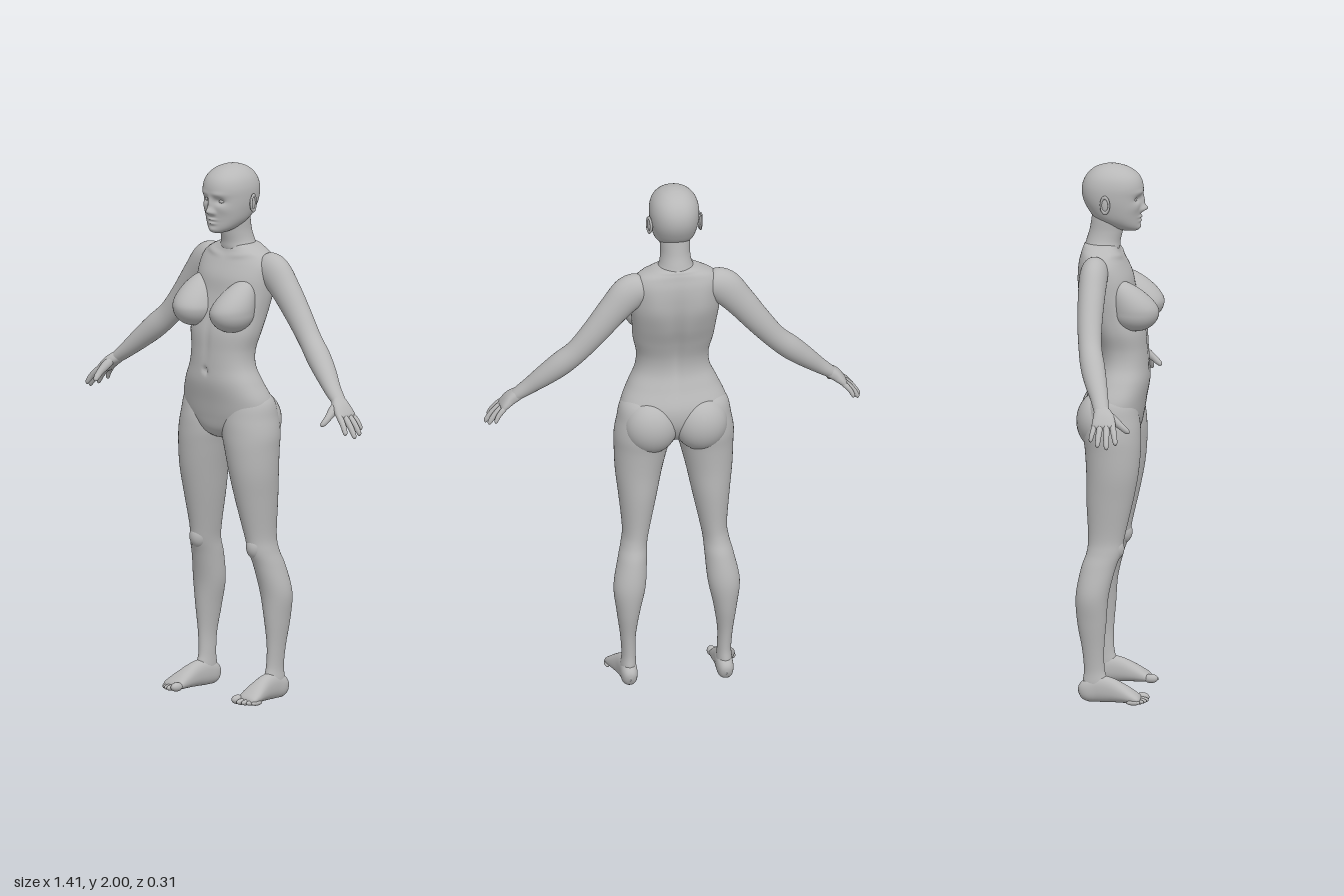
import * as THREE from 'three';

const skin = new THREE.MeshStandardMaterial({ color: 0xb8b8b8 });
skin.name = 'clay grey';

const V = (x, y, z) => new THREE.Vector3(x, y, z);
const bell = (d, w) => Math.exp(-(d * d) / (w * w));

// Smooth skin over rows of [x, y, z, radius along side, other radius].
// A fixed axis keeps every ring parallel; otherwise rings follow the path.
function loft(rows, side, { axis, seg = 24, steps = 40, n = 2, warp } = {}) {
  const path = new THREE.CatmullRomCurve3(rows.map(r => V(r[0], r[1], r[2])), false, 'catmullrom');
  const radii = new THREE.CatmullRomCurve3(rows.map(r => V(r[3], r[4], 0)), false, 'catmullrom');
  const pos = [], index = [];
  const bend = c => Math.sign(c) * Math.abs(c) ** (2 / n);
  for (let i = 0; i <= steps; i++) {
    const c = path.getPoint(i / steps), r = radii.getPoint(i / steps);
    const t = axis ?? path.getTangent(i / steps);
    const v = t.clone().cross(side).normalize();
    const u = v.clone().cross(t).normalize();
    for (let j = 0; j < seg; j++) {
      const a = (j / seg) * Math.PI * 2;
      const p = c.clone()
        .addScaledVector(u, bend(Math.cos(a)) * Math.max(r.x, 0.0005))
        .addScaledVector(v, bend(Math.sin(a)) * Math.max(r.y, 0.0005));
      if (warp) warp(p);
      pos.push(p.x, p.y, p.z);
      if (i < steps) {
        const k = i * seg, m = (j + 1) % seg;
        index.push(k + j, k + m, k + seg + j, k + m, k + seg + m, k + seg + j);
      }
    }
  }
  const g = new THREE.BufferGeometry();
  g.setAttribute('position', new THREE.Float32BufferAttribute(pos, 3));
  g.setIndex(index);
  g.computeVertexNormals();
  return g;
}

// Upright loft from rows of [y, xMin, xMax, zFront, zBack], bottom to top
const upright = (rows, opts) => loft(
  rows.map(([y, a, b, f, k]) => [(a + b) / 2, y, (f + k) / 2, (b - a) / 2, (f - k) / 2]),
  V(1, 0, 0), { axis: V(0, 1, 0), ...opts });
const centred = rows => rows.map(([y, w, f, k]) => [y, -w, w, f, k]);

const ball = (x, y, z, rx, ry, rz) =>
  new THREE.SphereGeometry(1, 32, 24).scale(rx, ry, rz).translate(x, y, z);

function mirrored(g) {
  const m = g.clone().scale(-1, 1, 1), ix = m.index.array;
  for (let i = 0; i < ix.length; i += 3) [ix[i], ix[i + 1]] = [ix[i + 1], ix[i]];
  m.computeVertexNormals();
  return m;
}

export function createModel() {
  const model = new THREE.Group();
  model.name = 'figure';
  const add = (name, g) => {
    const mesh = new THREE.Mesh(g, skin);
    mesh.name = name;
    model.add(mesh);
  };
  const pair = (name, g) => {
    add(name + 'Left', g);
    add(name + 'Right', mirrored(g));
  };

  // Torso with spine groove, navel and collarbones
  add('torso', upright(centred([
    [0.965, 0.01, -0.01, -0.03], [0.98, 0.05, 0.05, -0.07], [1.01, 0.12, 0.078, -0.1],
    [1.06, 0.19, 0.09, -0.122], [1.12, 0.198, 0.1, -0.122], [1.19, 0.168, 0.112, -0.095],
    [1.25, 0.14, 0.11, -0.076], [1.31, 0.135, 0.106, -0.078], [1.38, 0.15, 0.1, -0.1],
    [1.45, 0.157, 0.08, -0.128], [1.52, 0.165, 0.06, -0.147], [1.58, 0.168, 0.048, -0.152],
    [1.63, 0.165, 0.025, -0.15], [1.665, 0.145, 0.005, -0.142], [1.685, 0.11, -0.003, -0.136],
    [1.7, 0.07, -0.015, -0.125], [1.705, 0.01, -0.06, -0.08],
  ]), {
    seg: 96, steps: 120, n: 2.25,
    warp: p => {
      const x = Math.abs(p.x);
      if (p.z < -0.04) p.z += 0.014 * bell(x, 0.022) * bell(p.y - 1.38, 0.2)
        - 0.006 * bell(x - 0.09, 0.04) * bell(p.y - 1.55, 0.08);
      else if (p.z > 0.04) p.z -= 0.012 * bell(x, 0.009) * bell(p.y - 1.235, 0.012)
        + 0.004 * bell(x, 0.015) * bell(p.y - 1.36, 0.09);
      if (p.z > -0.03) p.z += 0.006 * bell(p.y - 1.655 - x * 0.15, 0.012) * bell(x - 0.07, 0.05);
    },
  }));

  // Chest forms: full below, sloping back into the collar above
  const breast = new THREE.SphereGeometry(1, 40, 32);
  const bp = breast.attributes.position;
  for (let i = 0; i < bp.count; i++) {
    const y = bp.getY(i), up = Math.max(y, 0);
    bp.setXYZ(i, 0.097 + bp.getX(i) * 0.077 + up * 0.012,
      1.462 + y * (0.074 + up * 0.045),
      0.066 + bp.getZ(i) * 0.09 - up * up * 0.06);
  }
  breast.computeVertexNormals();
  pair('breast', breast);
  pair('buttock', ball(0.093, 1.045, -0.066, 0.1, 0.108, 0.086));

  // Neck
  add('neck', upright(centred([
    [1.64, 0.09, -0.015, -0.13], [1.68, 0.076, 0, -0.132], [1.71, 0.061, 0.003, -0.124],
    [1.75, 0.055, 0.012, -0.112], [1.8, 0.056, 0.02, -0.104], [1.84, 0.05, 0.01, -0.1],
  ]), { seg: 40 }));

  // Head; each face feature is [x, y, width, height, forward push]
  const features = [
    [0, 1.833, 0.013, 0.013, 0.022], [0, 1.86, 0.011, 0.026, 0.011],
    [0.014, 1.828, 0.008, 0.008, 0.007], [0.036, 1.872, 0.02, 0.013, -0.013],
    [0.035, 1.899, 0.03, 0.01, 0.004], [0, 1.802, 0.02, 0.005, 0.008],
    [0, 1.787, 0.017, 0.006, 0.008], [0, 1.762, 0.022, 0.011, 0.006],
    [0.055, 1.842, 0.02, 0.02, 0.004],
  ];
  add('head', upright(centred([
    [1.747, 0.008, 0.055, 0.02], [1.753, 0.03, 0.068, -0.005], [1.77, 0.053, 0.074, -0.045],
    [1.8, 0.073, 0.076, -0.095], [1.84, 0.085, 0.08, -0.124], [1.88, 0.091, 0.084, -0.139],
    [1.92, 0.091, 0.087, -0.139], [1.955, 0.08, 0.073, -0.124], [1.982, 0.056, 0.04, -0.096],
    [1.996, 0.026, 0.0, -0.06], [2, 0.001, -0.028, -0.03],
  ]), {
    seg: 112, steps: 140, n: 2.15,
    warp: p => {
      if (p.z <= 0) return;
      const x = Math.abs(p.x), y = p.y;
      for (const [fx, fy, w, h, d] of features) p.z += d * bell(x - fx, w) * bell(y - fy, h);
    },
  }));
  pair('eye', ball(0.035, 1.872, 0.056, 0.015, 0.009, 0.012));
  pair('ear', ball(0, 0, 0, 0.007, 0.03, 0.018).rotateY(0.3).translate(0.093, 1.858, -0.045));
  pair('earRim', new THREE.TorusGeometry(0.018, 0.0045, 10, 28).scale(0.9, 1.6, 1)
    .rotateY(Math.PI / 2 + 0.3).translate(0.097, 1.86, -0.046));

  // Arms, shoulder to wrist
  const Z = V(0, 0, 1);
  pair('arm', loft([
    [0.08, 1.63, -0.075, 0.02, 0.02], [0.125, 1.62, -0.077, 0.045, 0.053],
    [0.175, 1.605, -0.08, 0.052, 0.066], [0.235, 1.542, -0.082, 0.05, 0.058],
    [0.305, 1.455, -0.081, 0.046, 0.05], [0.37, 1.378, -0.073, 0.043, 0.044],
    [0.43, 1.322, -0.058, 0.045, 0.045], [0.485, 1.273, -0.041, 0.041, 0.039],
    [0.54, 1.224, -0.022, 0.033, 0.03], [0.585, 1.188, -0.01, 0.028, 0.023],
    [0.61, 1.168, -0.004, 0.024, 0.018],
  ], Z, { seg: 36, steps: 60 }));

  // Hands
  pair('palm', loft([
    [0.565, 1.204, -0.014, 0.02, 0.015], [0.585, 1.187, -0.009, 0.029, 0.022],
    [0.61, 1.168, 0, 0.039, 0.021], [0.632, 1.146, 0.003, 0.044, 0.016],
    [0.642, 1.134, 0.003, 0.04, 0.011], [0.646, 1.13, 0.003, 0.02, 0.003],
  ], Z, { seg: 32, n: 2.4 }));
  const digit = (name, a, b, r) => {
    const at = (t, lift, k) => [...a.map((v, i) => v + (b[i] - v) * t + (i < 2 ? lift : 0)), r * k, r * k];
    pair(name, loft([at(0, 0, 0.9), at(0.3, 0.003, 1.05), at(0.6, 0.004, 0.95),
      at(0.85, 0.002, 0.82), at(0.96, 0, 0.55), at(1, 0, 0.02)], V(0, 0.01, 1), { seg: 16, steps: 20 }));
  };
  digit('indexFinger', [0.626, 1.15, 0.034], [0.687, 1.08, 0.053], 0.011);
  digit('middleFinger', [0.63, 1.148, 0.013], [0.703, 1.066, 0.02], 0.0115);
  digit('ringFinger', [0.63, 1.147, -0.009], [0.694, 1.072, -0.015], 0.011);
  digit('littleFinger', [0.626, 1.148, -0.028], [0.673, 1.088, -0.043], 0.0095);
  pair('thumb', loft([
    [0.592, 1.18, 0.01, 0.014, 0.014], [0.6, 1.16, 0.035, 0.017, 0.017],
    [0.604, 1.137, 0.063, 0.013, 0.013], [0.602, 1.12, 0.082, 0.011, 0.011],
    [0.599, 1.111, 0.092, 0.007, 0.007], [0.598, 1.108, 0.095, 0.0005, 0.0005],
  ], V(1, 0, 0), { seg: 16 }));

  // Legs, ankle to hip
  pair('leg', upright([
    [0.03, 0.155, 0.205, -0.045, -0.11], [0.07, 0.151, 0.209, -0.025, -0.12],
    [0.12, 0.153, 0.205, -0.038, -0.115], [0.2, 0.153, 0.211, -0.04, -0.122],
    [0.3, 0.138, 0.225, -0.032, -0.14], [0.4, 0.117, 0.236, -0.024, -0.146],
    [0.5, 0.109, 0.217, 0, -0.128], [0.56, 0.105, 0.202, 0.022, -0.108],
    [0.62, 0.094, 0.196, 0.033, -0.103], [0.75, 0.066, 0.208, 0.063, -0.11],
    [0.85, 0.045, 0.219, 0.082, -0.111], [0.94, 0.022, 0.223, 0.09, -0.117],
    [1.0, 0.004, 0.224, 0.09, -0.125], [1.06, 0.005, 0.214, 0.084, -0.122],
    [1.13, 0.03, 0.196, 0.065, -0.1], [1.19, 0.07, 0.13, 0.02, -0.04],
  ], { seg: 48, steps: 90 }));
  pair('kneecap', ball(0.15, 0.575, -0.006, 0.034, 0.045, 0.038));

  // Feet and toes
  pair('foot', loft([
    [0.18, 0.035, -0.136, 0.002, 0.002], [0.18, 0.037, -0.128, 0.02, 0.026],
    [0.18, 0.042, -0.105, 0.03, 0.042], [0.18, 0.05, -0.065, 0.032, 0.05],
    [0.184, 0.046, -0.02, 0.034, 0.046], [0.19, 0.034, 0.03, 0.042, 0.034],
    [0.195, 0.023, 0.066, 0.047, 0.023], [0.196, 0.015, 0.09, 0.044, 0.014],
    [0.196, 0.013, 0.1, 0.02, 0.003],
  ], V(1, 0, 0), { seg: 36, n: 2.3 }));
  [[0.161, 0.1, 0.017], [0.185, 0.1, 0.0115], [0.204, 0.094, 0.0108],
    [0.221, 0.085, 0.0102], [0.236, 0.073, 0.0095]].forEach(([x, z, r], i) =>
    pair('toe' + (i + 1), ball(x, r, z, r, r, 0.026)));

  return model;
}
